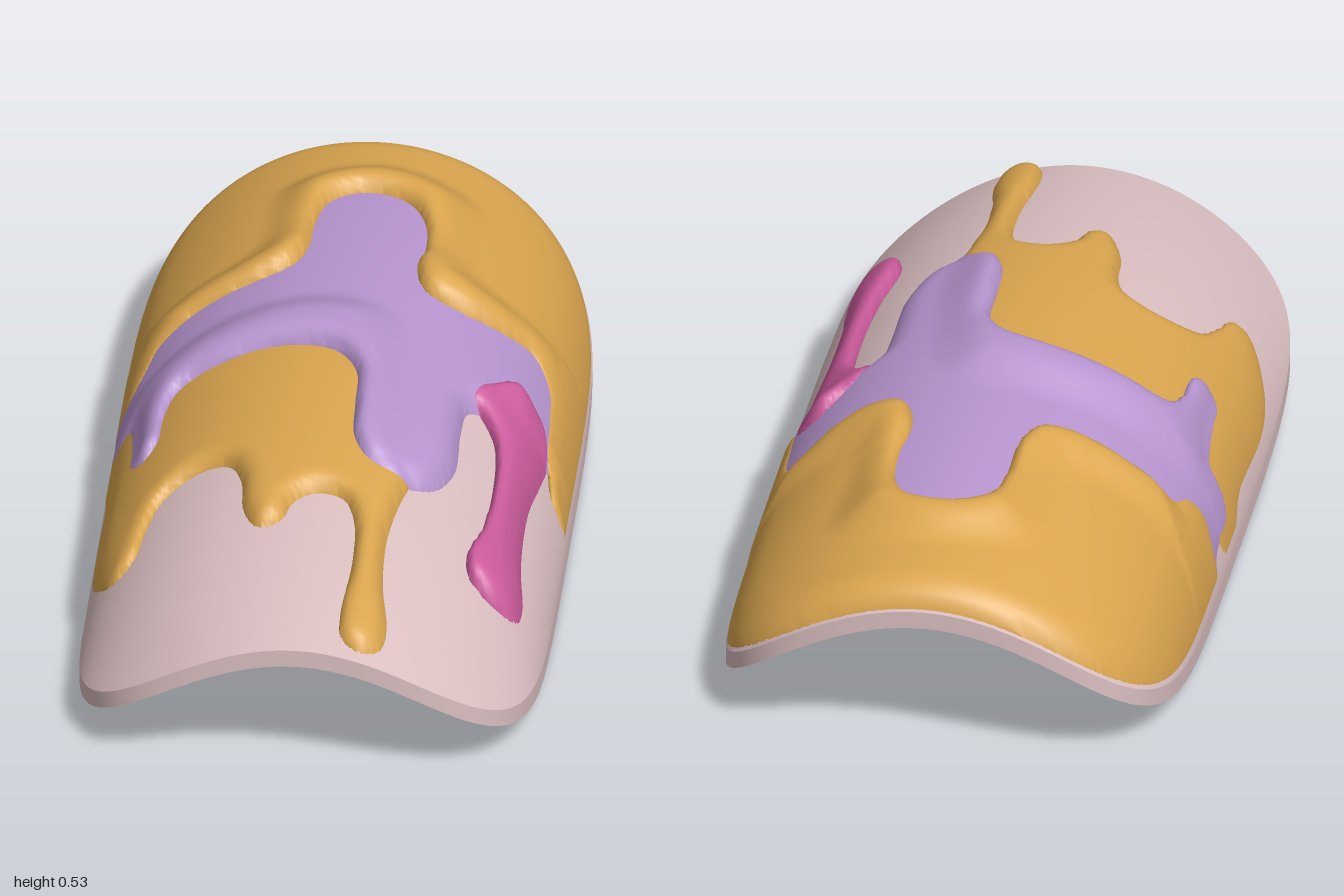
import * as THREE from 'three';
import { mergeVertices } from 'three/addons/utils/BufferGeometryUtils.js';

const paint = (name, color) => Object.assign(new THREE.MeshStandardMaterial({ color }), { name });
const THICK = 0.04;

// Outer height of the arched plate
function arch(x, z) {
  const t = z + 0.1;
  const crown = 0.45 - (t > 0 ? 0.115 * (t / 1.1) ** 2 : 0.065 * (t / 0.9) ** 2);
  const power = 0.6 + (z > 0 ? 0.4 : 0.2) * z ** 4;
  return THICK + (crown - THICK) * Math.max(0, 1 - (x / 0.5) ** 2) ** power;
}

// Rounded-rectangle plan of the plate, evenly stepped around a square
function planOutline(count, scale = 1) {
  const pts = [];
  for (let i = 0; i < count; i++) {
    const s = (i / count) * 4, side = Math.floor(s), f = (s - side) * 2 - 1;
    const [a, b] = [[f, 1], [1, -f], [-f, -1], [-1, f]][side];
    let lo = 0, hi = 1;
    for (let k = 0; k < 40; k++) {
      const m = (lo + hi) / 2;
      if (Math.abs(m * a) ** 4 + Math.abs(m * b) ** 6.5 < 1) lo = m; else hi = m;
    }
    pts.push([a * lo * 0.5 * scale, b * lo * scale]);
  }
  return pts;
}

// Plate: top skin, under skin and rim, built from rings
function plateGeometry() {
  const M = 192, N = 40, plan = planOutline(M), pos = [], idx = [];
  const addRings = (rings, flip) => {
    const start = pos.length / 3;
    rings.forEach((ring) => ring.forEach((p) => pos.push(...p)));
    for (let i = 0; i < rings.length - 1; i++) for (let j = 0; j < M; j++) {
      const a = start + i * M + j, b = start + i * M + (j + 1) % M, c = b + M, d = a + M;
      if (flip) idx.push(a, c, b, a, d, c); else idx.push(a, b, c, a, c, d);
    }
  };
  const skin = (drop) => Array.from({ length: N + 1 }, (_, i) => {
    const r = Math.sin((Math.max(i, 0.01) / N) * Math.PI / 2);
    return plan.map(([x, z]) => [x * r, arch(x * r, z * r) - drop, z * r]);
  });
  const top = skin(0), under = skin(THICK);
  addRings(top, true);
  addRings(under, false);
  addRings([top[N], under[N]], true);
  const g = new THREE.BufferGeometry();
  g.setAttribute('position', new THREE.Float32BufferAttribute(pos, 3));
  g.setIndex(idx);
  g.computeVertexNormals();
  return g;
}

// Signed distance to a closed polygon, positive inside
function inside(poly, x, z) {
  let best = Infinity, within = false;
  for (let i = 0, j = poly.length - 1; i < poly.length; j = i++) {
    const [ax, az] = poly[j], [bx, bz] = poly[i];
    const ex = bx - ax, ez = bz - az;
    const t = Math.min(1, Math.max(0, ((x - ax) * ex + (z - az) * ez) / (ex * ex + ez * ez || 1)));
    best = Math.min(best, (x - ax - ex * t) ** 2 + (z - az - ez * t) ** 2);
    if ((az > z) !== (bz > z) && x < ax + ((z - az) / ez) * ex) within = !within;
  }
  return Math.sqrt(best) * (within ? 1 : -1);
}

const border = planOutline(160, 0.994);

// A coat of thick liquid: outline, thickness, edge radius and the coat below
function makeCoat(points, thick, radius, below) {
  const curve = new THREE.CatmullRomCurve3(points.map(([x, z]) => new THREE.Vector3(x, 0, z)), true);
  const poly = curve.getPoints(points.length * 6).slice(0, -1).map((p) => [p.x, p.z]);
  const depth = (x, z) => Math.min(inside(poly, x, z), inside(border, x, z));
  const at = (x, z) => {
    const d = depth(x, z), k = THREE.MathUtils.clamp(d / radius, 0, 1);
    const puff = thick * Math.sqrt(1 - (1 - k) ** 2);
    const lower = below ? below.at(x, z) : { exact: 0, soft: 0 };
    const soft = lower.soft + thick * THREE.MathUtils.smoothstep(d, 0, 0.14);
    return { d, soft, exact: Math.max(lower.soft + puff, lower.exact + 0.3 * puff) };
  };
  return { depth, at };
}

// Skin of a coat: a grid trimmed along the coat's outline
function coatGeometry(coat) {
  const NX = 130, NZ = 180, grid = [], pos = [];
  for (let i = 0; i <= NX; i++) for (let j = 0; j <= NZ; j++) {
    const x = 0.5 * Math.sin((i / NX - 0.5) * Math.PI), z = -1 + (2 * j) / NZ;
    grid.push({ x, z, d: coat.depth(x, z) });
  }
  const lift = (p) => {
    p.y ??= arch(p.x, p.z) + coat.at(p.x, p.z).exact + 0.003;
    return p;
  };
  const cut = (a, b) => {
    if (a.d < 0) [a, b] = [b, a];
    const t = a.d / (a.d - b.d);
    return { x: a.x + (b.x - a.x) * t, z: a.z + (b.z - a.z) * t, d: 0 };
  };
  const addTriangle = (tri) => {
    const out = [];
    tri.forEach((a, n) => {
      const b = tri[(n + 1) % 3];
      if (a.d >= 0) out.push(a);
      if ((a.d >= 0) !== (b.d >= 0)) out.push(cut(a, b));
    });
    for (let n = 1; n < out.length - 1; n++)
      for (const p of [out[0], out[n], out[n + 1]].map(lift)) pos.push(p.x, p.y, p.z);
  };
  for (let i = 0; i < NX; i++) for (let j = 0; j < NZ; j++) {
    const a = grid[i * (NZ + 1) + j], d = grid[i * (NZ + 1) + j + 1];
    const b = grid[(i + 1) * (NZ + 1) + j], c = grid[(i + 1) * (NZ + 1) + j + 1];
    addTriangle([a, d, c]);
    addTriangle([a, c, b]);
  }
  let g = new THREE.BufferGeometry();
  g.setAttribute('position', new THREE.Float32BufferAttribute(pos, 3));
  g = mergeVertices(g, 1e-5);
  g.computeVertexNormals();
  return g;
}

export function createModel() {
  const group = new THREE.Group();
  const shell = paint('pale rose', 0xdcc0c2);
  const gold = paint('honey gold', 0xdba64f);
  const lilac = paint('lilac', 0xb896d0);
  const pink = paint('pink', 0xcc5c9c);
  for (const m of [gold, lilac, pink]) m.side = THREE.DoubleSide;

  const add = (name, geometry, material) => {
    const mesh = new THREE.Mesh(geometry, material);
    mesh.name = name;
    group.add(mesh);
  };

  // Front gold drips
  const frontCoat = makeCoat([
    [-0.488, 0.1], [-0.487, 0.4], [-0.465, 0.49], [-0.43, 0.545], [-0.39, 0.53], [-0.37, 0.45],
    [-0.34, 0.37], [-0.27, 0.335], [-0.2, 0.35], [-0.165, 0.42], [-0.15, 0.53], [-0.11, 0.6],
    [-0.065, 0.58], [-0.045, 0.52], [0, 0.485], [0.06, 0.495], [0.09, 0.56], [0.1, 0.7],
    [0.09, 0.88], [0.1, 0.95], [0.14, 0.975], [0.18, 0.95], [0.19, 0.88], [0.17, 0.75],
    [0.165, 0.6], [0.18, 0.47], [0.2, 0.36], [0.19, 0.1], [0.1, -0.2], [-0.3, -0.22], [-0.488, -0.15],
  ], 0.036, 0.045);

  // Lilac middle coat, running under the rear gold
  const middleCoat = makeCoat([
    [-0.49, -0.2], [-0.482, -0.05], [-0.45, -0.04], [-0.437, 0.02], [-0.43, 0.1], [-0.425, 0.165],
    [-0.4, 0.19], [-0.372, 0.16], [-0.365, 0.06], [-0.34, -0.01], [-0.25, -0.03], [-0.1, -0.03],
    [0, 0], [0.05, 0.07], [0.06, 0.2], [0.07, 0.32], [0.11, 0.39], [0.17, 0.41], [0.24, 0.38],
    [0.28, 0.28], [0.28, 0.12], [0.29, 0.03], [0.34, 0], [0.42, 0], [0.465, -0.03], [0.55, -0.1],
    [0.55, -0.42], [0.28, -0.45], [0.26, -0.75], [0.03, -0.84], [-0.2, -0.75], [-0.24, -0.47], [-0.55, -0.42],
  ], 0.045, 0.055, frontCoat);

  // Rear gold coat with its lip over the lilac
  const rearCoat = makeCoat([
    [-0.6, -0.25], [-0.49, -0.22], [-0.465, -0.2], [-0.435, -0.23], [-0.41, -0.29], [-0.35, -0.31],
    [-0.2, -0.33], [-0.13, -0.36], [-0.1, -0.43], [-0.095, -0.55], [-0.07, -0.65], [0, -0.69],
    [0.09, -0.67], [0.135, -0.6], [0.15, -0.48], [0.14, -0.38], [0.17, -0.29], [0.25, -0.27],
    [0.33, -0.29], [0.4, -0.31], [0.435, -0.26], [0.447, -0.15], [0.455, -0.02], [0.47, 0.045],
    [0.49, 0.05], [0.6, 0], [0.6, -1.1], [-0.6, -1.1],
  ], 0.05, 0.075, middleCoat);

  // Pink drip on the side
  const sideCoat = makeCoat([
    [0.3, 0], [0.34, -0.09], [0.39, -0.13], [0.43, -0.115], [0.45, -0.05], [0.445, 0.05],
    [0.432, 0.2], [0.435, 0.4], [0.45, 0.53], [0.438, 0.595], [0.39, 0.615], [0.345, 0.595],
    [0.33, 0.53], [0.35, 0.42], [0.36, 0.25], [0.348, 0.08], [0.32, 0.025],
  ], 0.052, 0.05, middleCoat);

  add('archedPlate', plateGeometry(), shell);
  add('frontGoldDrips', coatGeometry(frontCoat), gold);
  add('lilacCoat', coatGeometry(middleCoat), lilac);
  add('rearGoldCoat', coatGeometry(rearCoat), gold);
  add('pinkDrip', coatGeometry(sideCoat), pink);
  return group;
}
